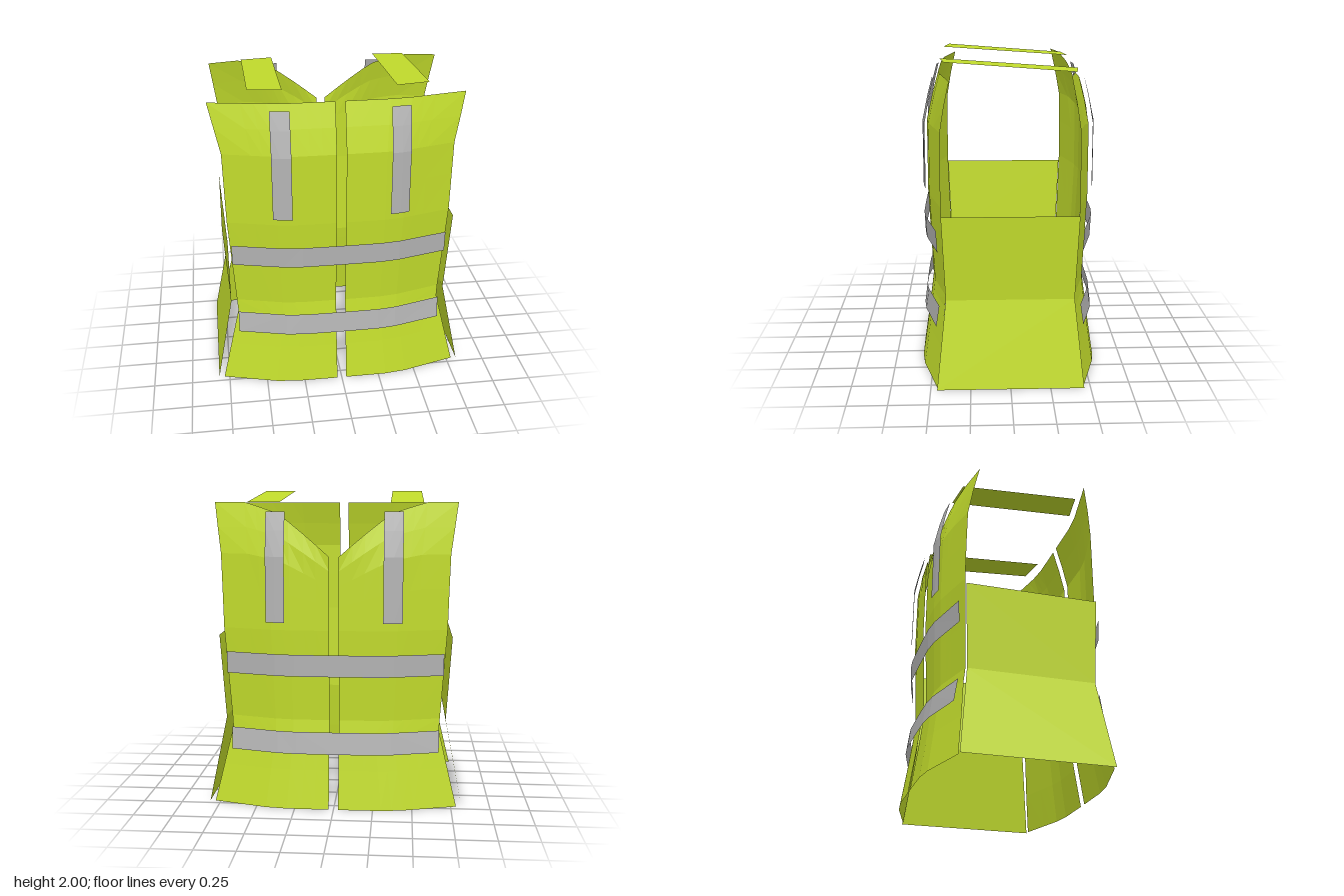
import * as THREE from 'three';

const flat = (hex, name) => {
  const m = new THREE.MeshStandardMaterial({ color: hex, side: THREE.DoubleSide, flatShading: true });
  m.name = name;
  return m;
};

// piecewise linear lookup in a list of [key, value] pairs
function interp(table, k) {
  if (k <= table[0][0]) return table[0][1];
  for (let i = 1; i < table.length; i++) {
    const [k0, v0] = table[i - 1], [k1, v1] = table[i];
    if (k <= k1) return v0 + (v1 - v0) * (k - k0) / (k1 - k0);
  }
  return table[table.length - 1][1];
}

// body profile by height: half width, depth at the middle, depth lost at the outer edge
const FRONT_WIDTH = [[0, 0.785], [0.49, 0.667], [1.15, 0.71], [1.61, 0.72], [1.92, 0.79]];
const BACK_WIDTH = [[0, 0.785], [0.49, 0.667], [1.15, 0.71], [1.61, 0.72], [1.94, 0.765]];
const DEPTH = [[0, 0.575], [0.3, 0.53], [0.57, 0.495], [1.15, 0.518], [1.61, 0.515], [1.77, 0.478], [1.94, 0.43]];
const DROP = [[0, 0.115], [0.57, 0.095], [1.61, 0.1], [1.94, 0.08]];
// curve across the chest by fraction of the half width, and the back neckline
const CURVE = [[0, 0], [0.36, 0.02], [0.54, 0.17], [1, 1]];
const NECK = [[0.03, 1.61], [0.2, 1.75], [0.35, 1.87], [0.5, 1.92], [0.57, 1.94]];

const surfaceZ = (x, y) =>
  interp(DEPTH, y) - interp(DROP, y) * interp(CURVE, Math.abs(x) / interp(FRONT_WIDTH, y));

// sheet of quads through rows of points; flip reverses the facing
function sheet(rows, flip) {
  const pos = [], idx = [], n = rows[0].length;
  rows.forEach(r => r.forEach(p => pos.push(...p)));
  for (let j = 0; j < rows.length - 1; j++) {
    for (let i = 0; i < n - 1; i++) {
      const a = j * n + i, b = a + 1, c = a + n, d = c + 1;
      if (flip) idx.push(a, d, b, a, c, d);
      else idx.push(a, b, d, a, d, c);
    }
  }
  const g = new THREE.BufferGeometry();
  g.setAttribute('position', new THREE.Float32BufferAttribute(pos, 3));
  g.setIndex(idx);
  const out = g.toNonIndexed();
  out.computeVertexNormals();
  return out;
}

export function createModel() {
  const model = new THREE.Group();
  model.name = 'safetyVest';
  const lime = flat(0xc2dc2c, 'lime fabric');
  const silver = flat(0xb4b4b4, 'reflective silver');
  const add = (name, geo, mat) => {
    const m = new THREE.Mesh(geo, mat);
    m.name = name;
    model.add(m);
  };

  const panelRows = [0, 0.25, 0.49, 0.57, 0.85, 1.15, 1.4, 1.61, 1.77, 1.92];
  const columns = [0, 0.12, 0.23, 0.36, 0.45, 0.54, 0.64, 0.74, 1];

  for (const sz of [1, -1]) {
    const end = sz > 0 ? 'front' : 'back';
    const width = sz > 0 ? FRONT_WIDTH : BACK_WIDTH;

    for (const sx of [1, -1]) {
      const side = sx > 0 ? 'Left' : 'Right';

      // half panel, with the neckline cut into the back
      const rows = panelRows.map(y0 => columns.map(u => {
        const top = sz > 0 ? 1.92 : interp(NECK, 0.03 + 0.73 * u);
        const y = y0 <= 1.15 ? y0 : 1.15 + (y0 - 1.15) * (top - 1.15) / 0.77;
        const x = 0.03 + (interp(width, y) - 0.03) * u;
        const z = interp(DEPTH, y) - interp(DROP, y) * interp(CURVE, u);
        return [sx * x, y, sz * z];
      }));
      add(end + side + 'Panel', sheet(rows, sx * sz < 0), lime);

      // upright reflective strip over the chest or shoulder blade
      const strip = [1.2, 1.4, 1.61, 1.77, 1.885].map(y =>
        [0.307, 0.37, 0.427].map(x => [sx * x, y, sz * (surfaceZ(x, y) + 0.032)]));
      add(end + side + 'Strip', sheet(strip, sx * sz < 0), silver);
    }

    // reflective bands around the chest and waist
    for (const [name, y0, y1, half] of [['ChestBand', 0.86, 1.0, 0.69], ['WaistBand', 0.36, 0.5, 0.667]]) {
      const band = [y0, y1].map(y =>
        [-1, -0.54, -0.36, 0, 0.36, 0.54, 1].map(u => [u * half, y, sz * (surfaceZ(u * half, y) + 0.035)]));
      add(end + name, sheet(band, sz < 0), silver);
    }
  }

  for (const sx of [1, -1]) {
    const side = sx > 0 ? 'left' : 'right';

    // side panel, pinched at the waist
    const rows = [[0, 0.82, 0.46], [0.555, 0.71, 0.4], [1.1, 0.742, 0.42]]
      .map(([y, x, z]) => [[sx * x, y, z], [sx * x, y, -z]]);
    add(side + 'SidePanel', sheet(rows, sx < 0), lime);

    // flat shoulder strap, higher at the front
    const strap = [
      [[sx * 0.345, 2.0, 0.425], [sx * 0.55, 2.0, 0.39]],
      [[sx * 0.345, 1.94, -0.43], [sx * 0.55, 1.94, -0.405]],
    ];
    add(side + 'ShoulderStrap', sheet(strap, sx < 0), lime);
  }

  return model;
}
